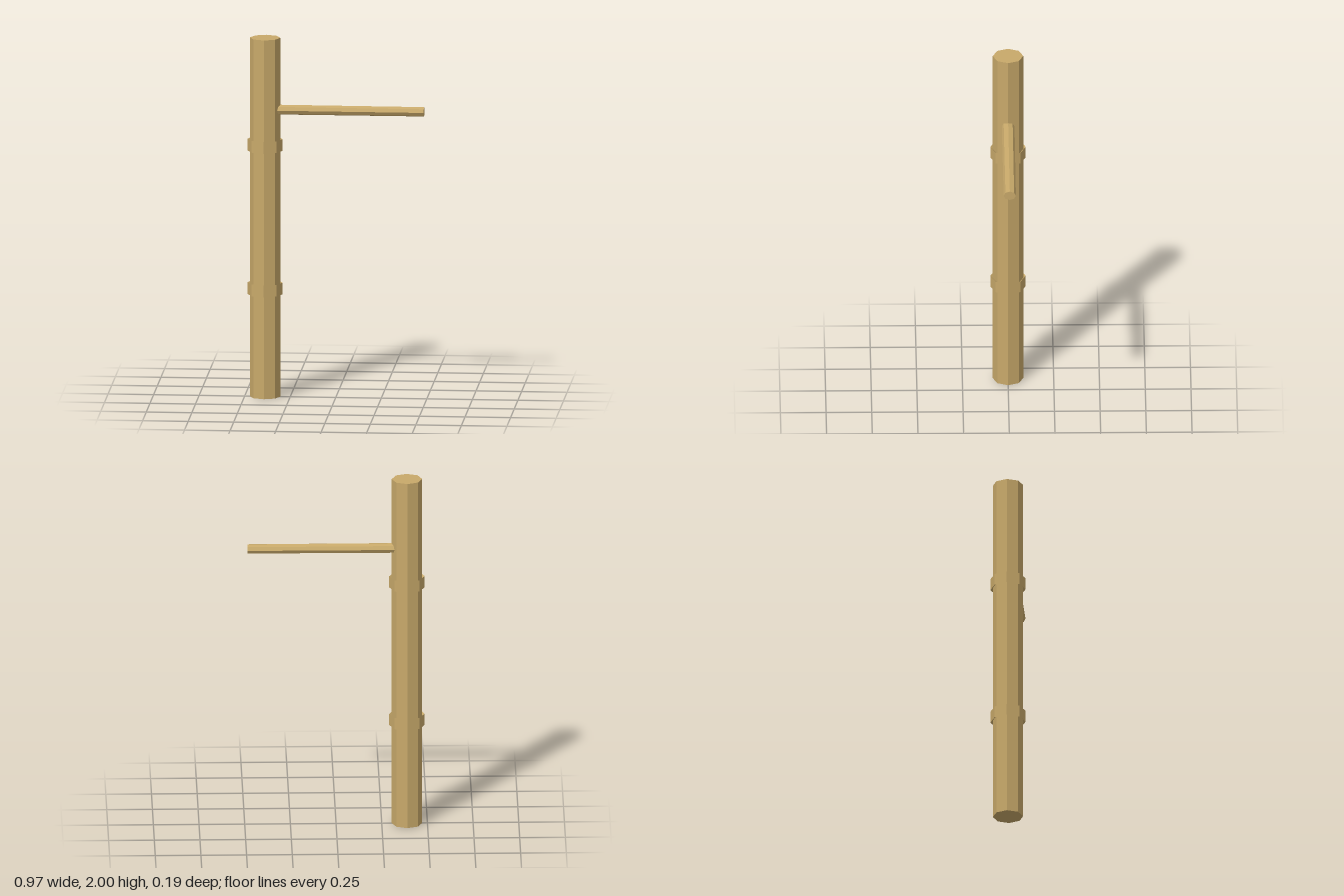
import * as THREE from 'three';

const SIDES = 8;
const POLE_X = -0.388;
const POLE_R = 0.0835;

export function createModel() {
  const model = new THREE.Group();
  model.name = 'poleWithBranch';
  const wood = new THREE.MeshStandardMaterial({ color: 0xc8a96a, flatShading: true });
  wood.name = 'tan wood';

  const add = (name, geometry, x, y) => {
    const mesh = new THREE.Mesh(geometry, wood);
    mesh.name = name;
    mesh.position.set(x, y, 0);
    model.add(mesh);
  };

  // upright octagonal pole
  add('pole', new THREE.CylinderGeometry(POLE_R, POLE_R, 2, SIDES), POLE_X, 1);

  // node rings: straight outer wall, rims sloping in to the pole
  const profile = [[POLE_R, -0.02], [0.097, -0.0325], [0.097, 0.0325], [POLE_R, 0.02]]
    .map(([r, y]) => new THREE.Vector2(r, y));
  [['lowerRing', 0.603], ['upperRing', 1.403]].forEach(([name, y]) =>
    add(name, new THREE.LatheGeometry(profile, SIDES), POLE_X, y));

  // slightly flattened side branch, rooted inside the pole
  const start = -0.34, end = 0.485;
  const branch = new THREE.CylinderGeometry(0.0335, 0.035, end - start, SIDES);
  branch.rotateZ(-Math.PI / 2);
  branch.scale(1, 0.78, 1);
  add('branch', branch, (start + end) / 2, 1.6);

  return model;
}
